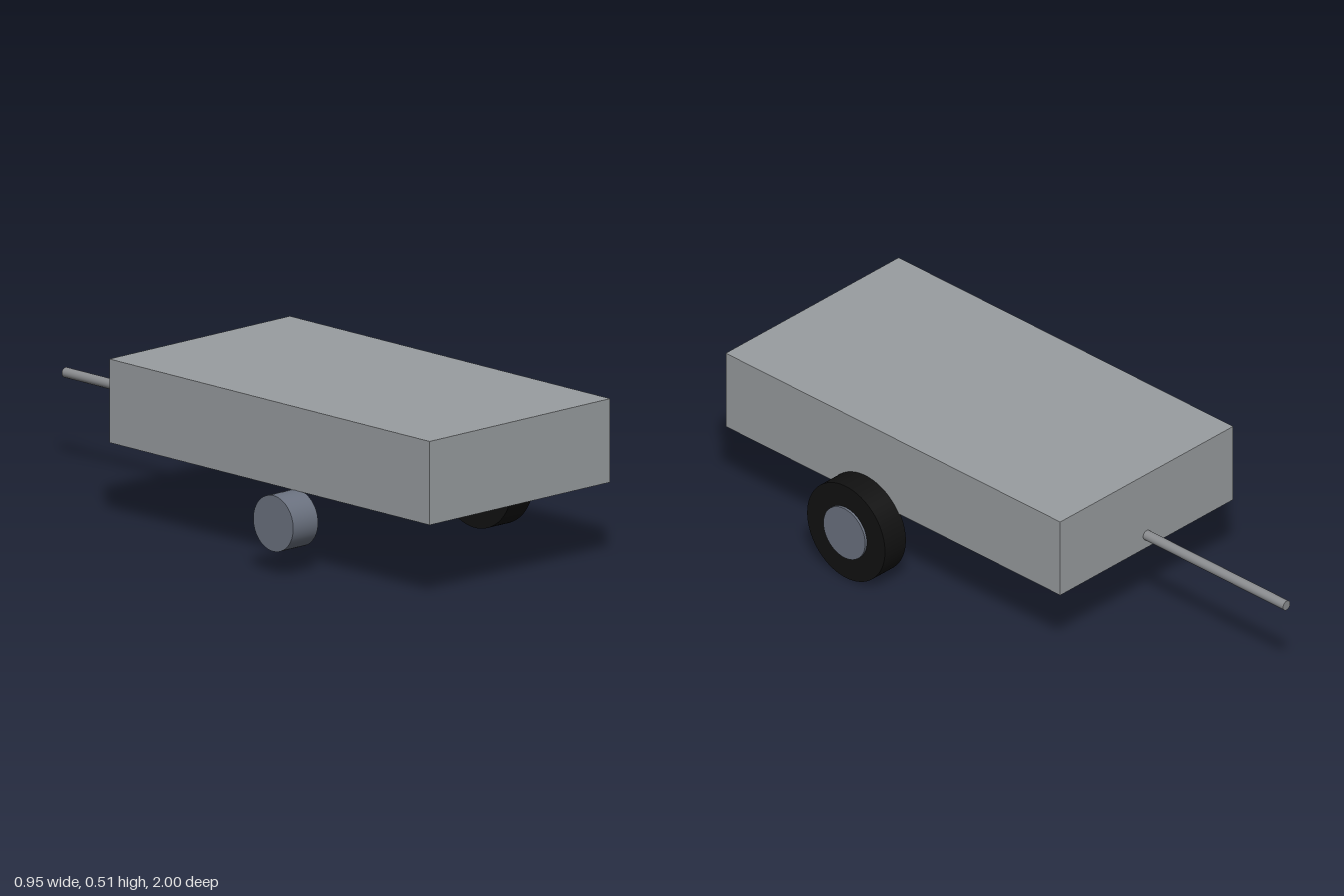
import * as THREE from 'three';

function material(name, color) {
  const m = new THREE.MeshStandardMaterial({ color });
  m.name = name;
  return m;
}

export function createModel() {
  const group = new THREE.Group();
  group.name = 'trailer';
  const bodyGrey = material('body grey', 0x999da0);
  const steel = material('drawbar steel', 0x8a8c8f);
  const hubGrey = material('hub grey', 0x6b7280);
  const rubber = material('tyre black', 0x111111);

  const add = (name, geometry, mat, x, y, z) => {
    const mesh = new THREE.Mesh(geometry, mat);
    mesh.name = name;
    mesh.position.set(x, y, z);
    group.add(mesh);
  };
  const axleY = 0.164, axleZ = 0.41;

  // Closed cargo box
  add('cargoBox', new THREE.BoxGeometry(0.763, 0.263, 1.41), bodyGrey, 0, 0.3825, 0.295);

  // Drawbar running out of the back wall
  add('drawbar', new THREE.CylinderGeometry(0.016, 0.016, 0.59, 24).rotateX(Math.PI / 2), steel, 0, 0.296, -0.705);

  // A hub on each side
  for (const [name, side] of [['leftHub', 1], ['rightHub', -1]]) {
    const hub = new THREE.CylinderGeometry(0.088, 0.088, 0.105, 48).rotateZ(Math.PI / 2);
    add(name, hub, hubGrey, side * 0.4235, axleY, axleZ);
  }

  // The one fitted tyre, on the left hub
  const ring = new THREE.Shape().absarc(0, 0, 0.164, 0, Math.PI * 2, false);
  ring.holes.push(new THREE.Path().absarc(0, 0, 0.088, 0, Math.PI * 2, true));
  const tyre = new THREE.ExtrudeGeometry(ring, { depth: 0.092, bevelEnabled: false, curveSegments: 64 });
  tyre.translate(0, 0, -0.046).rotateY(Math.PI / 2);
  add('leftTyre', tyre, rubber, 0.422, axleY, axleZ);

  return group;
}
